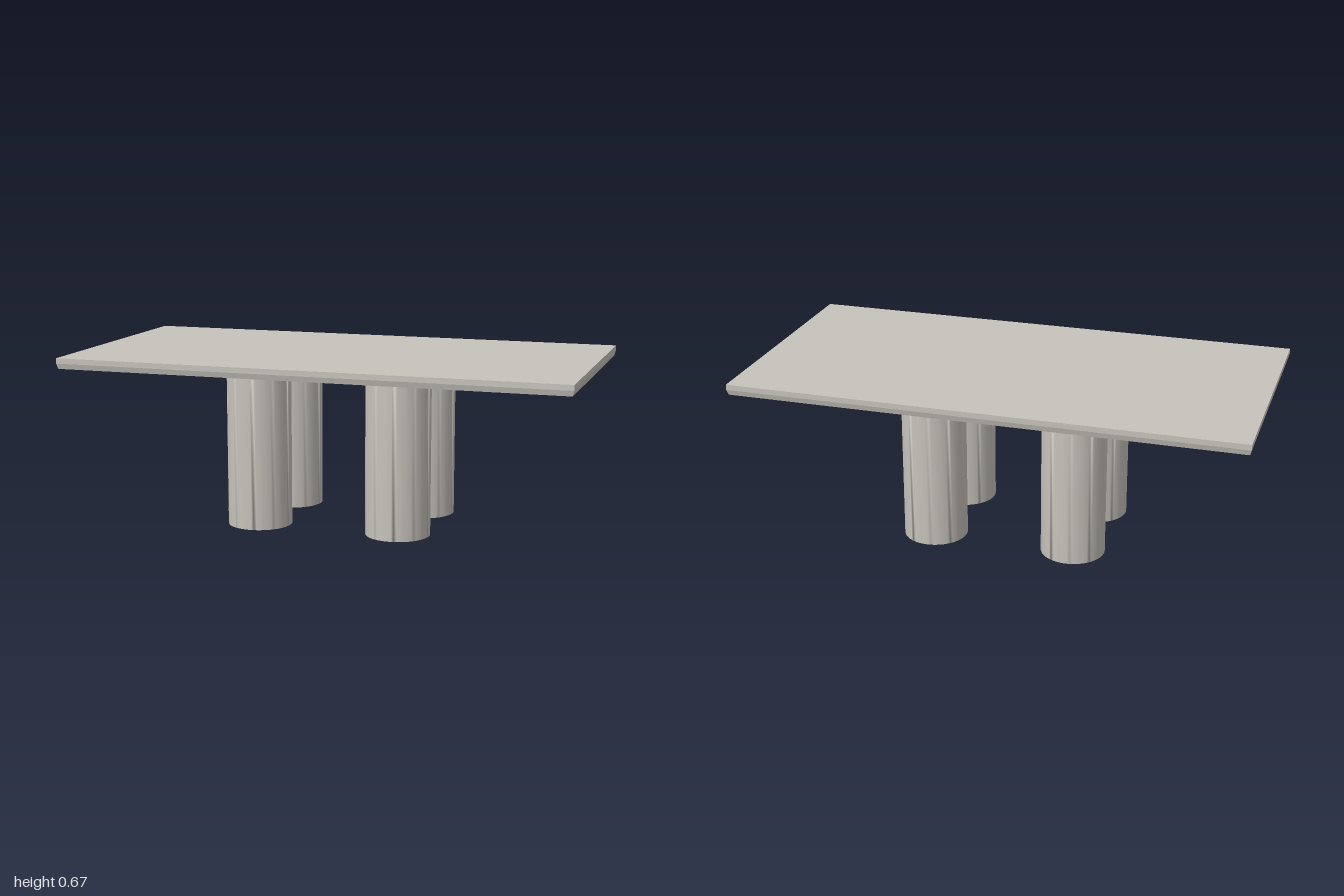
import * as THREE from 'three';
import { mergeVertices } from 'three/addons/utils/BufferGeometryUtils.js';

const TOP_Y = 0.67, THICK = 0.042, LEG_R = 0.126;

// Slab whose lower half of the edge tapers slightly inwards
function tabletopGeometry() {
  const g = new THREE.BoxGeometry(2, THICK, 1.01, 1, 2, 1);
  const p = g.attributes.position;
  for (let i = 0; i < p.count; i++) {
    if (p.getY(i) < -0.01) {
      p.setX(i, p.getX(i) - Math.sign(p.getX(i)) * 0.006);
      p.setZ(i, p.getZ(i) - Math.sign(p.getZ(i)) * 0.006);
    }
  }
  const flat = g.toNonIndexed();
  flat.computeVertexNormals();
  return flat;
}

// Round column with normals blended over the end rims
function legGeometry() {
  const circle = new THREE.Shape().absarc(0, 0, LEG_R, 0, Math.PI * 2);
  const g = new THREE.ExtrudeGeometry(circle, {
    depth: TOP_Y - THICK, bevelEnabled: false, curveSegments: 40,
  });
  g.rotateX(-Math.PI / 2);
  g.deleteAttribute('normal');
  g.deleteAttribute('uv');
  const merged = mergeVertices(g, 1e-4);
  merged.computeVertexNormals();
  return merged;
}

export function createModel() {
  const table = new THREE.Group();
  table.name = 'table';
  const stone = new THREE.MeshStandardMaterial({ color: 0xc6c2bb });
  stone.name = 'warm grey';

  const top = new THREE.Mesh(tabletopGeometry(), stone);
  top.name = 'tabletop';
  top.position.y = TOP_Y - THICK / 2;
  table.add(top);

  // Four legs clustered under the middle
  const legGeo = legGeometry();
  for (const [side, x] of [['Right', -0.285], ['Left', 0.281]]) {
    for (const [end, z] of [['front', 0.194], ['back', -0.183]]) {
      const leg = new THREE.Mesh(legGeo, stone);
      leg.name = `${end}${side}Leg`;
      leg.position.set(x, 0, z);
      table.add(leg);
    }
  }
  return table;
}
